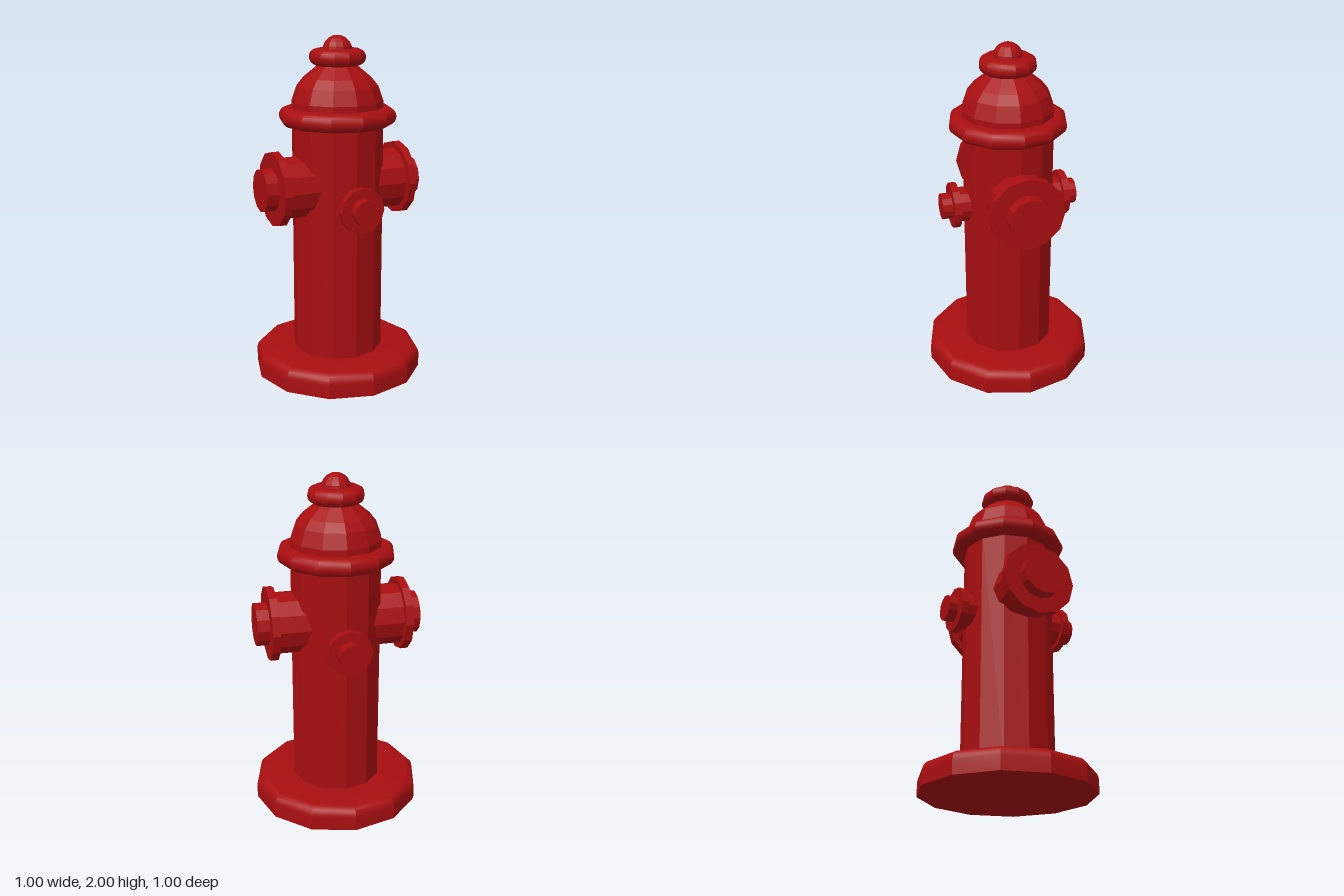
import * as THREE from 'three';
import { toCreasedNormals } from 'three/addons/utils/BufferGeometryUtils.js';

const SIDES = 12;
const red = new THREE.MeshStandardMaterial({ color: 0xa80e10 });

// Twelve-sided turned part; roundings stay smooth, the facets stay crisp.
function turned(name, profile, crease = 0.4) {
  const points = profile.map(([r, y]) => new THREE.Vector2(r, y));
  const geometry = toCreasedNormals(new THREE.LatheGeometry(points, SIDES), crease);
  const mesh = new THREE.Mesh(geometry, red);
  mesh.name = name;
  return mesh;
}

// Quarter-round or half-round arc of profile points.
function arc(cx, cy, radius, from, to, steps) {
  return Array.from({ length: steps + 1 }, (_, i) => {
    const a = from + ((to - from) * i) / steps;
    return [cx + radius * Math.cos(a), cy + radius * Math.sin(a)];
  });
}

// Disc with a fully rounded rim.
function roundedRing(name, radius, y0, y1) {
  const h = (y1 - y0) / 2;
  const rim = arc(radius - h, y0 + h, h, -Math.PI / 2, Math.PI / 2, 10);
  return turned(name, [[0, y0], ...rim, [0, y1]]);
}

// Outlet along +z: pipe, wide flange and small cap.
function outlet(name, y, pipeR, flangeR, capR, z1, z2, z3) {
  const group = new THREE.Group();
  group.name = name;
  const parts = [
    ['Pipe', pipeR, 0.1, z1],
    ['Flange', flangeR, z1, z2],
    ['Cap', capR, z2 - 0.01, z3],
  ];
  for (const [part, r, a, b] of parts) {
    const mesh = turned(name + part, [[0, a], [r, a], [r, b], [0, b]]);
    mesh.rotation.x = Math.PI / 2;
    group.add(mesh);
  }
  group.position.y = y;
  return group;
}

export function createModel() {
  const model = new THREE.Group();
  model.name = 'fireHydrant';

  // Foot, barrel and bonnet
  model.add(turned('base', [[0, 0], [0.5, 0], ...arc(0.44, 0.08, 0.06, 0, Math.PI / 2, 6), [0, 0.14]]));
  model.add(turned('barrel', [[0, 0.1], [0.265, 0.1], [0.265, 1.53], [0, 1.53]]));
  model.add(roundedRing('bonnetRing', 0.34, 1.49, 1.595));
  model.add(turned('bonnetDome', [
    [0.265, 1.55], [0.265, 1.63], [0.235, 1.715], [0.195, 1.765], [0.115, 1.83], [0, 1.85],
  ], 0.05));

  // Top collar and knob
  model.add(roundedRing('topCollar', 0.163, 1.83, 1.925));
  model.add(turned('topKnob', [...arc(0, 1.915, 0.085, 0, Math.PI * 0.4, 4), [0, 2]], 0.05));

  // Two large side outlets, two small ones front and back
  for (const side of [1, -1]) {
    const large = outlet(side > 0 ? 'leftOutlet' : 'rightOutlet', 1.145, 0.18, 0.217, 0.125, 0.365, 0.41, 0.48);
    large.rotation.y = (side * Math.PI) / 2;
    const small = outlet(side > 0 ? 'frontOutlet' : 'backOutlet', 1.055, 0.1, 0.132, 0.075, 0.305, 0.345, 0.402);
    small.rotation.y = side > 0 ? 0 : Math.PI;
    model.add(large, small);
  }
  return model;
}
